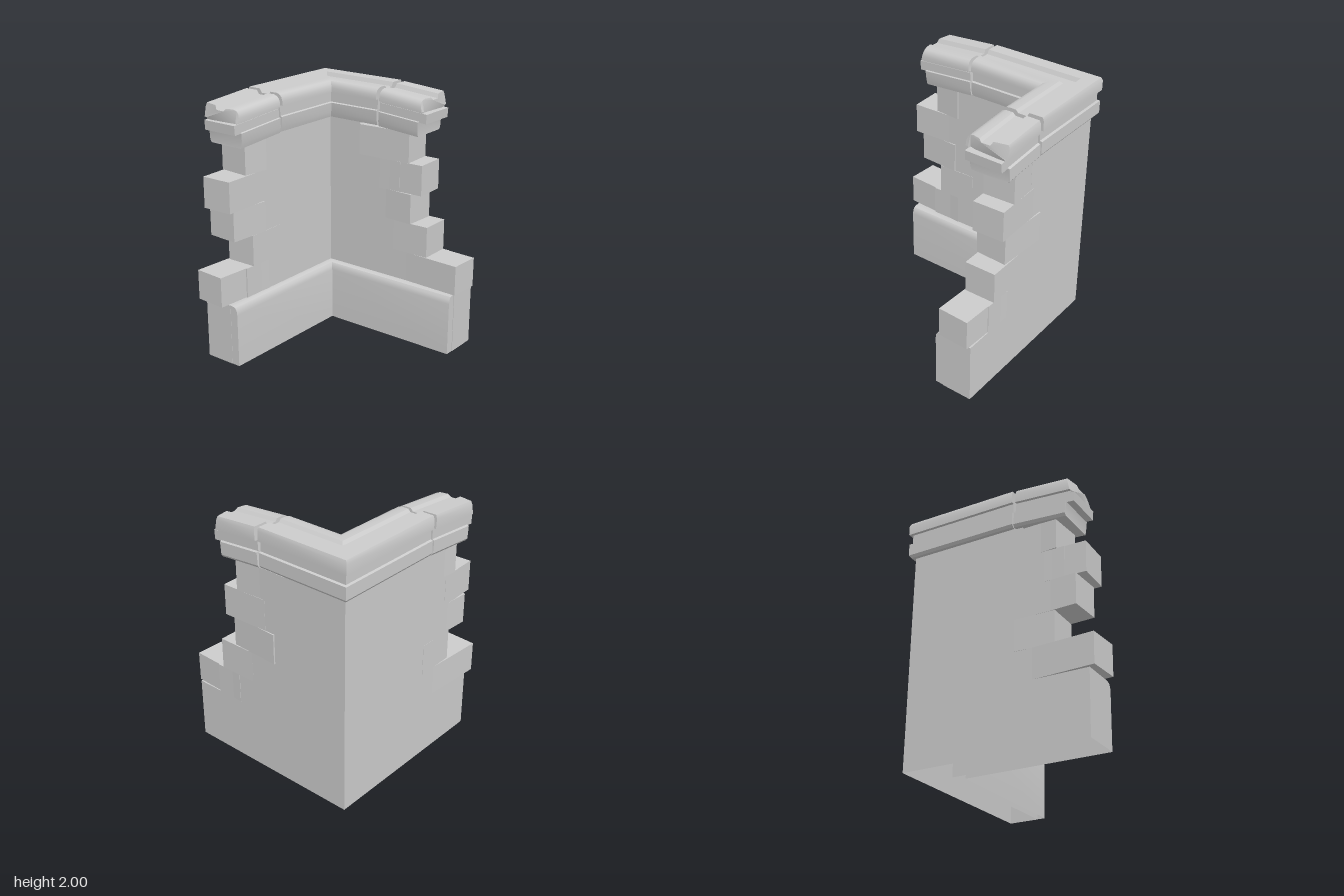
import * as THREE from 'three';
import { toCreasedNormals } from 'three/addons/utils/BufferGeometryUtils.js';

const X0 = 0.73, Z0 = -0.71; // outer corner of the wall
const material = new THREE.MeshStandardMaterial({ color: 0xcccccc, side: THREE.DoubleSide });

// Stations along the wall: a profile point is [inward distance, height]
const none = () => 0;
const backRing = (x, jag = none) => ([d, y]) => [x - jag(d, y), y, Z0 + d];
const cornerRing = ([d, y]) => [X0 - d, y, Z0 + d];
const sideRing = (z, jag = none) => ([d, y]) => [X0 - d, y, z + jag(d, y)];

// Sweep a profile (up the outer face, then inward, then down) through stations, capping both ends
function sweep(profile, rings, open = false) {
  const pos = [];
  const n = profile.length;
  const pts = rings.map((r) => profile.map(r));
  for (let i = 0; i < rings.length - 1; i++) {
    for (let j = 0; j < (open ? n - 1 : n); j++) {
      const k = (j + 1) % n;
      const [a, b, c, d] = [pts[i][j], pts[i][k], pts[i + 1][k], pts[i + 1][j]];
      pos.push(...a, ...b, ...c, ...a, ...c, ...d);
    }
  }
  const contour = profile.map(([d, y]) => new THREE.Vector2(d, y));
  const last = pts[pts.length - 1];
  for (const t of THREE.ShapeUtils.triangulateShape(contour, [])) {
    const ccw = THREE.ShapeUtils.area(t.map((i) => contour[i])) > 0;
    const [a, b, c] = ccw ? t : [t[0], t[2], t[1]];
    pos.push(...pts[0][a], ...pts[0][b], ...pts[0][c]);
    pos.push(...last[a], ...last[c], ...last[b]);
  }
  const geo = new THREE.BufferGeometry();
  geo.setAttribute('position', new THREE.Float32BufferAttribute(pos, 3));
  return toCreasedNormals(geo, 0.6);
}

const rect = (d0, d1, y0, y1) => [[d0, y0], [d0, y1], [d1, y1], [d1, y0]];

// Moulded cornice: lower band, recess, capping with a groove and a rounded inner edge
const CORNICE = [
  [-0.025, 1.7], [-0.04, 1.72], [-0.04, 1.815], [-0.022, 1.82], [-0.022, 1.9], [-0.045, 1.9],
  [-0.045, 1.975], [-0.035, 2], [0.07, 2], [0.088, 1.97], [0.158, 1.97], [0.178, 1.99],
  [0.235, 1.99], [0.262, 1.982], [0.28, 1.965], [0.29, 1.935], [0.29, 1.9], [0.268, 1.9],
  [0.268, 1.82], [0.285, 1.815], [0.28, 1.74], [0.27, 1.7],
];

// Courses of loose stones: bottom, top, then for each arm outer end, inner end, yaw, inward shift
const COURSES = [
  { y0: 0.483, y1: 0.718, back: [-0.775, -0.28, -0.06, -0.012], side: [0.755, 0.297, -0.04, 0.008] },
  { y0: 0.718, y1: 0.963, back: [-0.46, -0.145, 0.015, 0.002], side: [0.47, 0.16, 0.01, 0] },
  { y0: 0.963, y1: 1.2, back: [-0.638, -0.31, -0.05, 0], side: [0.328, -0.075, -0.05, 0] },
  { y0: 1.2, y1: 1.44, back: [-0.7, -0.38, 0.03, 0.005], side: [0.4, 0.02, 0.03, -0.005] },
  { y0: 1.44, y1: 1.68, back: [-0.492, -0.28, -0.08, 0], side: [0.278, -0.17, 0.05, 0.003] },
];
const THICK = 0.245;

export function createModel() {
  const model = new THREE.Group();
  model.name = 'ruinedWallCorner';
  const add = (name, geometry, parent = model) => {
    const mesh = new THREE.Mesh(geometry, material);
    mesh.name = name;
    parent.add(mesh);
    return mesh;
  };

  // Hollow base wall and the bevelled plinth along its inner side
  add('baseWall', sweep(rect(0, THICK, 0, 0.483), [backRing(-0.718), cornerRing, sideRing(0.737)], true));
  const plinth = [[THICK, 0], [THICK, 0.483], [0.265, 0.483], [0.29, 0.475], [0.305, 0.455], [0.31, 0.42], [0.312, 0]];
  add('plinth', sweep(plinth, [backRing(-0.716), cornerRing, sideRing(0.733)], true));

  // Upper wall, stepping back course by course inside the ragged end stones
  const stones = new THREE.Group();
  stones.name = 'endStones';
  model.add(stones);
  COURSES.forEach(({ y0, y1, back, side }, i) => {
    const top = i === COURSES.length - 1 ? 1.7 : y1;
    const bx = (back[0] + back[1]) / 2, sz = (side[0] + side[1]) / 2;
    const inset = i === COURSES.length - 1 ? 0.18 : 0;
    const core = rect(0, THICK, y0, y1);
    add('wallCourse' + (i + 1), sweep(core, [backRing(bx), cornerRing, sideRing(sz)]));
    if (top > y1) {
      add('wallHead', sweep(rect(0, THICK, y1, top), [backRing(bx + inset), cornerRing, sideRing(sz - inset - 0.05)]));
    }
    const backStone = add('backStone' + (i + 1),
      new THREE.BoxGeometry(back[1] - back[0], y1 - y0, THICK + 0.004), stones);
    backStone.position.set(bx, (y0 + y1) / 2, Z0 + THICK / 2 + back[3]);
    backStone.rotation.y = back[2];
    const sideStone = add('sideStone' + (i + 1),
      new THREE.BoxGeometry(THICK + 0.004, y1 - y0, side[0] - side[1]), stones);
    sideStone.position.set(X0 - THICK / 2 - side[3], (y0 + y1) / 2, sz);
    sideStone.rotation.y = side[2];
  });

  // Intact cornice round the corner
  add('cornice', sweep(CORNICE, [backRing(-0.14), cornerRing, sideRing(0.01)]));

  // Broken cornice ends, tilted down, with a jagged face and a projecting middle layer
  const jag = (d, y) => 0.035 * (1 - Math.abs(d - 0.13) / 0.18) + (y > 1.85 ? 0.3 * (2 - y) : 0);
  const middle = rect(-0.022, 0.272, 1.812, 1.885);
  const tilt = (geo, x, y, z, axis, angle) =>
    geo.translate(-x, -y, -z)[axis](angle).translate(x, y - 0.005, z);

  const backPiece = new THREE.Group();
  backPiece.name = 'brokenBackCornice';
  const sidePiece = new THREE.Group();
  sidePiece.name = 'brokenSideCornice';
  model.add(backPiece, sidePiece);
  const layers = [['moulding', CORNICE, -0.565, 0.375, jag], ['middleLayer', middle, -0.625, 0.443, none]];
  for (const [name, profile, x, z, j] of layers) {
    add(name, tilt(sweep(profile, [backRing(x, j), backRing(-0.148)]), -0.148, 1.7, 0, 'rotateZ', 0.075), backPiece);
    add(name, tilt(sweep(profile, [sideRing(0.022), sideRing(z, j)]), 0, 1.7, 0.022, 'rotateX', 0.075), sidePiece);
  }
  return model;
}
